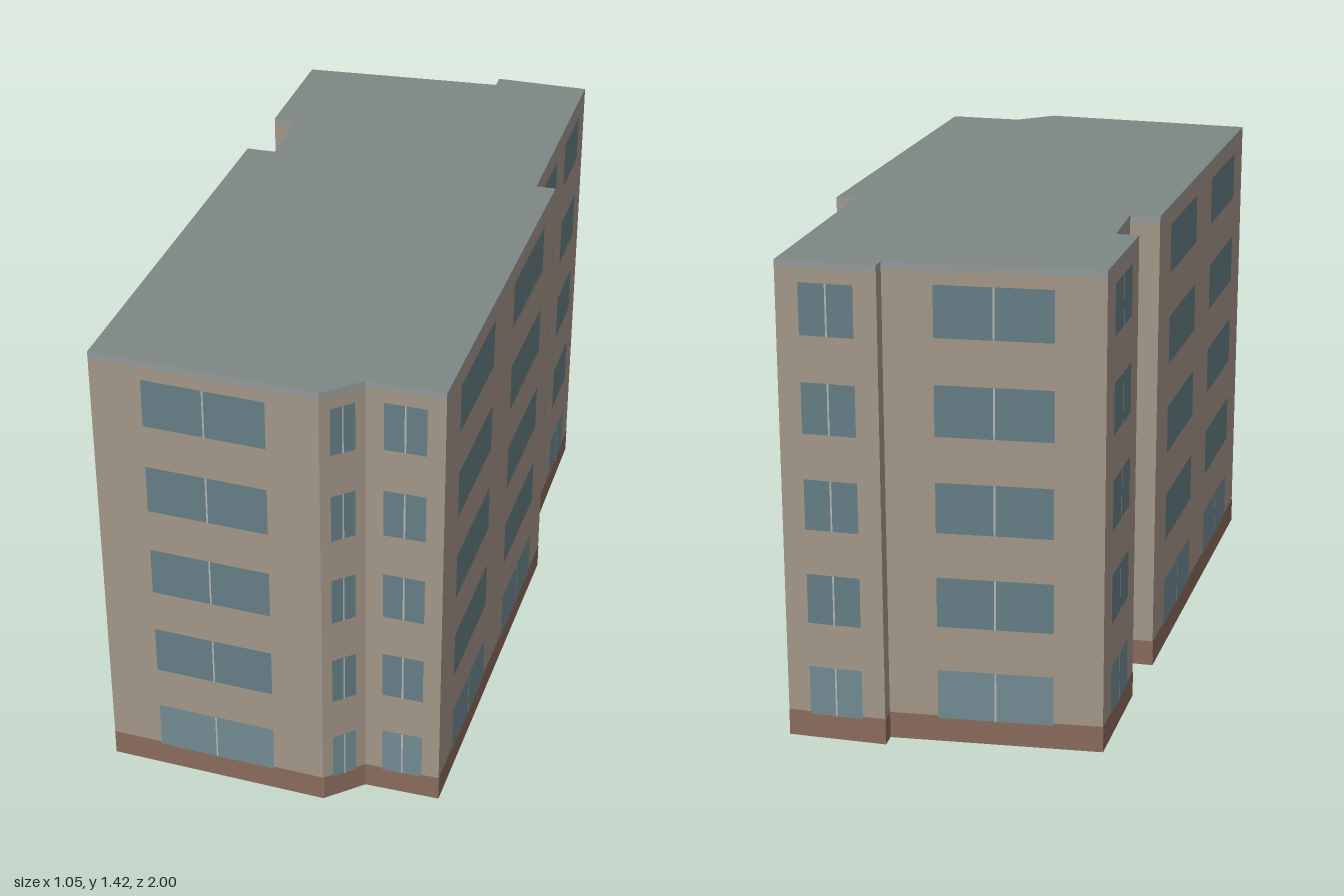
import * as THREE from 'three';

const mat = (color, side = THREE.FrontSide) => new THREE.MeshStandardMaterial({ color, side });

// Footprint corners (x, z), running back -> +x side -> front -> -x side.
// Windows on the wall starting at each corner: [from, to] as fractions of its length.
const single = [[0.23, 0.77]];
const pair = [[0.115, 0.41], [0.59, 0.885]];
const corners = [
  { p: [-0.42, -0.913], windows: single },
  { p: [0.196, -0.952] },
  { p: [0.196, -1.0], windows: single },
  { p: [0.484, -0.995], windows: [[0.13, 0.415], [0.585, 0.87]] },
  { p: [0.463, -0.288] },
  { p: [0.522, -0.288], windows: pair },
  { p: [0.463, 0.913], windows: single },
  { p: [0.24, 0.907], windows: single },
  { p: [0.135, 0.997], windows: single },
  { p: [-0.525, 0.955], windows: pair },
  { p: [-0.458, -0.307] },
  { p: [-0.37, -0.307], windows: single },
  { p: [-0.37, -0.53] },
  { p: [-0.436, -0.53], windows: single },
];

const HEIGHT = 1.42, CORNICE = 1.4, PLINTH = 0.08;
const FLOORS = 5, SILL = 0.073, STOREY = 0.2845, WINDOW_H = 0.15;

export function createModel() {
  const group = new THREE.Group();
  const mats = {
    wall: mat(0xa39688, THREE.DoubleSide),
    roof: mat(0x7f8784, THREE.DoubleSide),
    cornice: mat(0x929a99),
    plinth: mat(0x8a6a5c),
    glass: mat(0x647d85),
    groundGlass: mat(0x718a92),
    mullion: mat(0xb4b6b2),
  };

  // Upright panel on the wall a-b, covering fractions f0..f1 and heights y0..y1
  const panel = (name, material, a, b, f0, f1, y0, y1, offset) => {
    const dx = b[0] - a[0], dz = b[1] - a[1], len = Math.hypot(dx, dz);
    const f = (f0 + f1) / 2;
    const mesh = new THREE.Mesh(new THREE.PlaneGeometry(len * (f1 - f0), y1 - y0), material);
    mesh.position.set(
      a[0] + dx * f + (dz / len) * offset,
      (y0 + y1) / 2,
      a[1] + dz * f - (dx / len) * offset
    );
    mesh.rotation.y = Math.atan2(dz, -dx);
    mesh.name = name;
    return mesh;
  };

  corners.forEach(({ p: a, windows = [] }, i) => {
    const b = corners[(i + 1) % corners.length].p;
    const len = Math.hypot(b[0] - a[0], b[1] - a[1]);
    const facade = new THREE.Group();
    facade.name = 'facade';

    // Wall with brick plinth and roof-edge band
    facade.add(
      panel('wall', mats.wall, a, b, 0, 1, 0, CORNICE, 0),
      panel('plinth', mats.plinth, a, b, 0, 1, 0, PLINTH, 0.001),
      panel('cornice', mats.cornice, a, b, 0, 1, CORNICE, HEIGHT, 0)
    );

    // Windows on every floor; paired windows are divided on the ground floor only
    for (let floor = 0; floor < FLOORS; floor++) {
      const y0 = SILL + floor * STOREY, y1 = y0 + WINDOW_H;
      for (const [f0, f1] of windows) {
        const glass = floor === 0 ? mats.groundGlass : mats.glass;
        facade.add(panel('window', glass, a, b, f0, f1, y0, y1, 0.002));
        if (floor === 0 || windows.length === 1) {
          const mid = (f0 + f1) / 2, half = 0.0025 / len;
          facade.add(panel('mullion', mats.mullion, a, b, mid - half, mid + half, y0, y1, 0.003));
        }
      }
    }
    group.add(facade);
  });

  // Flat roof; the underside of the building stays open
  const outline = new THREE.Shape(corners.map(({ p }) => new THREE.Vector2(p[0], -p[1])));
  const roof = new THREE.Mesh(new THREE.ShapeGeometry(outline), mats.roof);
  roof.rotation.x = -Math.PI / 2;
  roof.position.y = HEIGHT;
  roof.name = 'roof';
  group.add(roof);

  group.name = 'apartmentBlock';
  return group;
}
